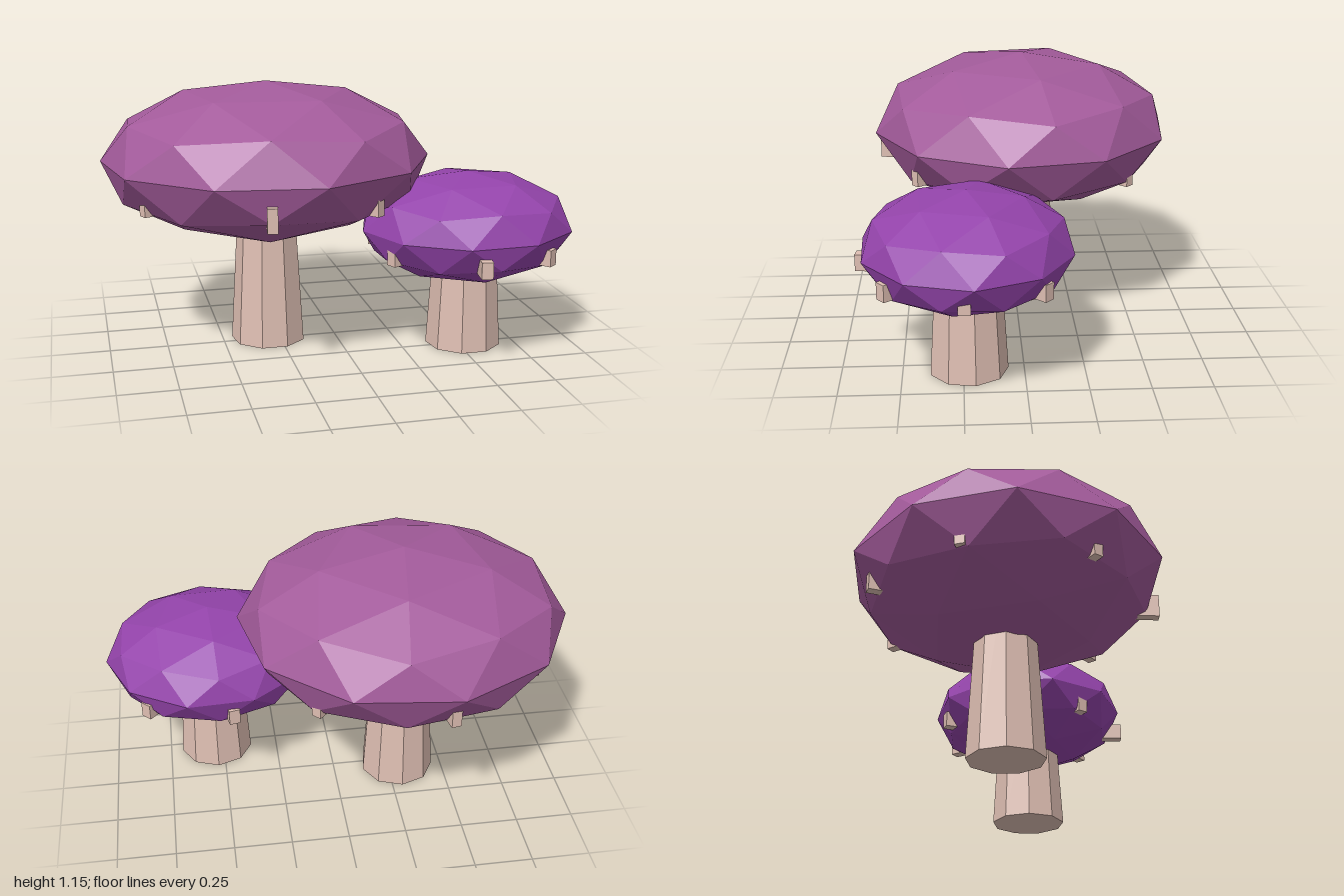
import * as THREE from 'three';

const colour = (name, color) => {
  const m = new THREE.MeshStandardMaterial({ color, flatShading: true });
  m.name = name;
  return m;
};

// Faceted ball with a corner at each pole, so its widest line is a level decagon
function capGeometry(turn) {
  const at = (y, r, deg) => {
    const a = THREE.MathUtils.degToRad(deg + turn);
    return [r * Math.cos(a), y, r * Math.sin(a)];
  };
  const y = 1 / Math.sqrt(5), r = 2 * y;
  const points = [0, 1, 0, 0, -1, 0];
  const faces = [];
  for (let i = 0; i < 5; i++) {
    points.push(...at(y, r, i * 72), ...at(-y, r, i * 72 + 36));
    const j = (i + 1) % 5;
    const u = 2 + i * 2, l = u + 1, u2 = 2 + j * 2, l2 = u2 + 1;
    faces.push(0, u2, u, u, u2, l, l, u2, l2, 1, l, l2);
  }
  return new THREE.PolyhedronGeometry(points, faces, 1, 1);
}

// Angle around the cap (from +x towards +z) and reach of each gill tab
const TABS = [[2, 0.98], [51, 1], [98, 1.06], [155, 1], [207, 1], [259, 0.98], [314, 1.01]];

function mushroom(name, o, capMaterial, stemMaterial) {
  const group = new THREE.Group();
  group.name = name;
  group.position.set(o.x, 0, o.z);
  const add = (part, geometry, material) => {
    const mesh = new THREE.Mesh(geometry, material);
    mesh.name = part;
    group.add(mesh);
    return mesh;
  };

  // Flattened cap
  const cap = add('cap', capGeometry(o.turn), capMaterial);
  cap.scale.set(...o.radii);
  cap.position.y = o.capY;

  // Tapered nine-sided stem
  const top = 0.165 - 0.06 * o.capY;
  const stem = add('stem', new THREE.CylinderGeometry(top, 0.165, o.capY, 9), stemMaterial);
  stem.position.y = o.capY / 2;
  stem.rotation.y = Math.PI;

  // Small tabs around the underside
  const [tabWidth, tabHeight, tabLength] = o.tab;
  const tabGeometry = new THREE.BoxGeometry(tabLength, tabHeight, tabWidth);
  for (const [deg, reach] of TABS) {
    const a = THREE.MathUtils.degToRad(deg);
    const d = o.tabReach * reach - tabLength / 2;
    const tab = add('gillTab', tabGeometry, stemMaterial);
    tab.position.set(d * Math.cos(a), o.tabY, d * Math.sin(a));
    tab.rotation.y = -a;
  }
  return group;
}

export function createModel() {
  const stem = colour('stem beige', 0xdfbfb3);
  const plum = colour('plum cap', 0xa35b9b);
  const violet = colour('violet cap', 0x9444ab);

  const model = new THREE.Group();
  model.name = 'mushrooms';
  model.add(
    mushroom('largeMushroom', {
      x: -0.295, z: -0.03, capY: 0.82, radii: [0.712, 0.335, 0.667], turn: -10.5,
      tab: [0.042, 0.1, 0.12], tabY: 0.7, tabReach: 0.615,
    }, plum, stem),
    mushroom('smallMushroom', {
      x: 0.533, z: 0.23, capY: 0.54, radii: [0.467, 0.235, 0.437], turn: -21,
      tab: [0.048, 0.07, 0.12], tabY: 0.46, tabReach: 0.427,
    }, violet, stem),
  );
  return model;
}
